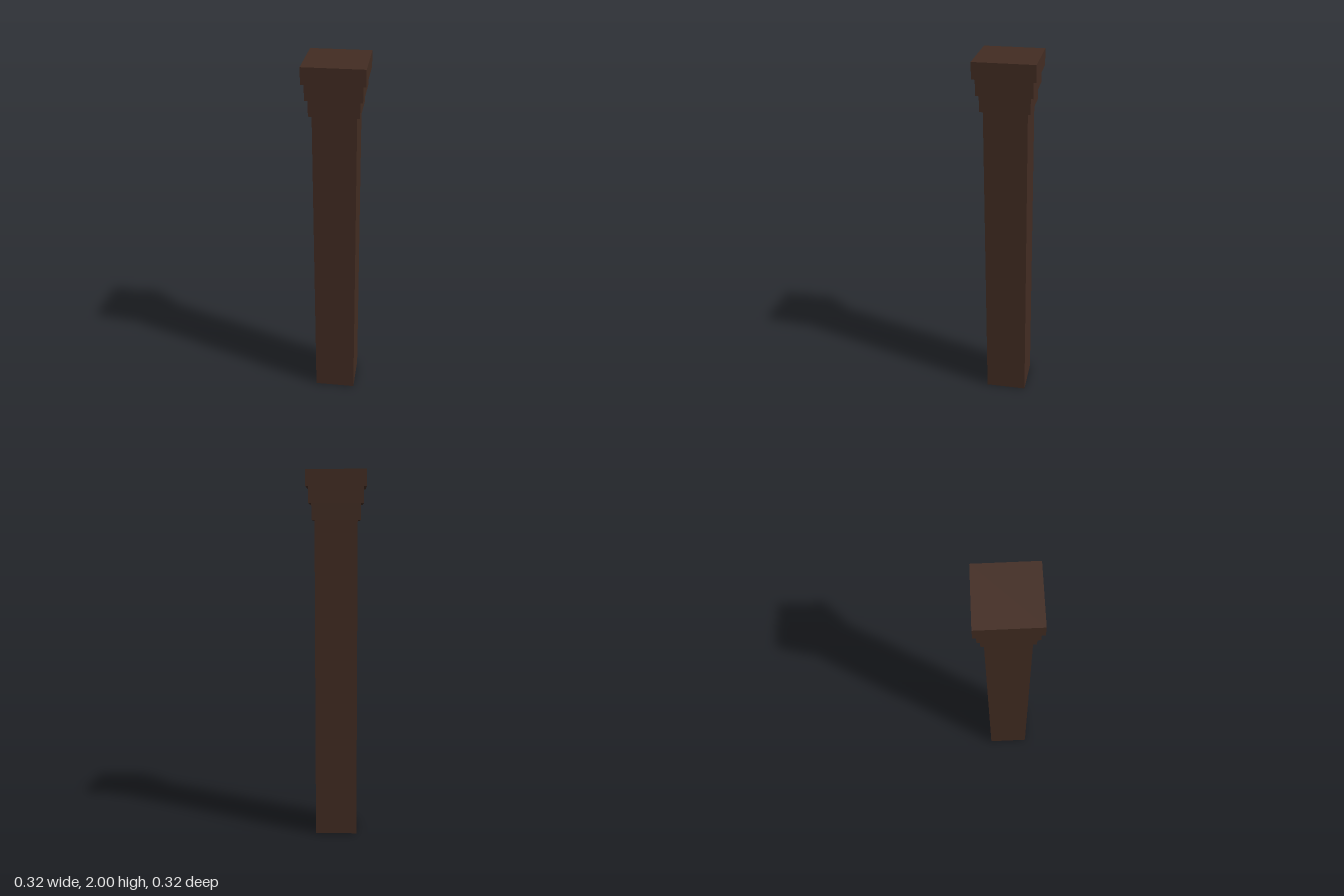
import * as THREE from 'three';

export function createModel() {
  const model = new THREE.Group();
  model.name = 'squarePillar';
  const wood = new THREE.MeshStandardMaterial({ color: 0x422c22 });

  // Square block standing between two heights
  function addBlock(name, width, bottom, top) {
    const block = new THREE.Mesh(new THREE.BoxGeometry(width, top - bottom, width), wood);
    block.name = name;
    block.position.y = (bottom + top) / 2;
    model.add(block);
  }

  const shaftTop = 1.741;
  addBlock('shaft', 0.228, 0, shaftTop);

  // Stepped capital, each tier wider than the one below
  const tiers = ['lowerCapital', 'middleCapital', 'upperCapital'];
  const step = (2 - shaftTop) / tiers.length;
  tiers.forEach((name, i) => {
    addBlock(name, 0.26 + i * 0.03, shaftTop + i * step, shaftTop + (i + 1) * step);
  });

  return model;
}
